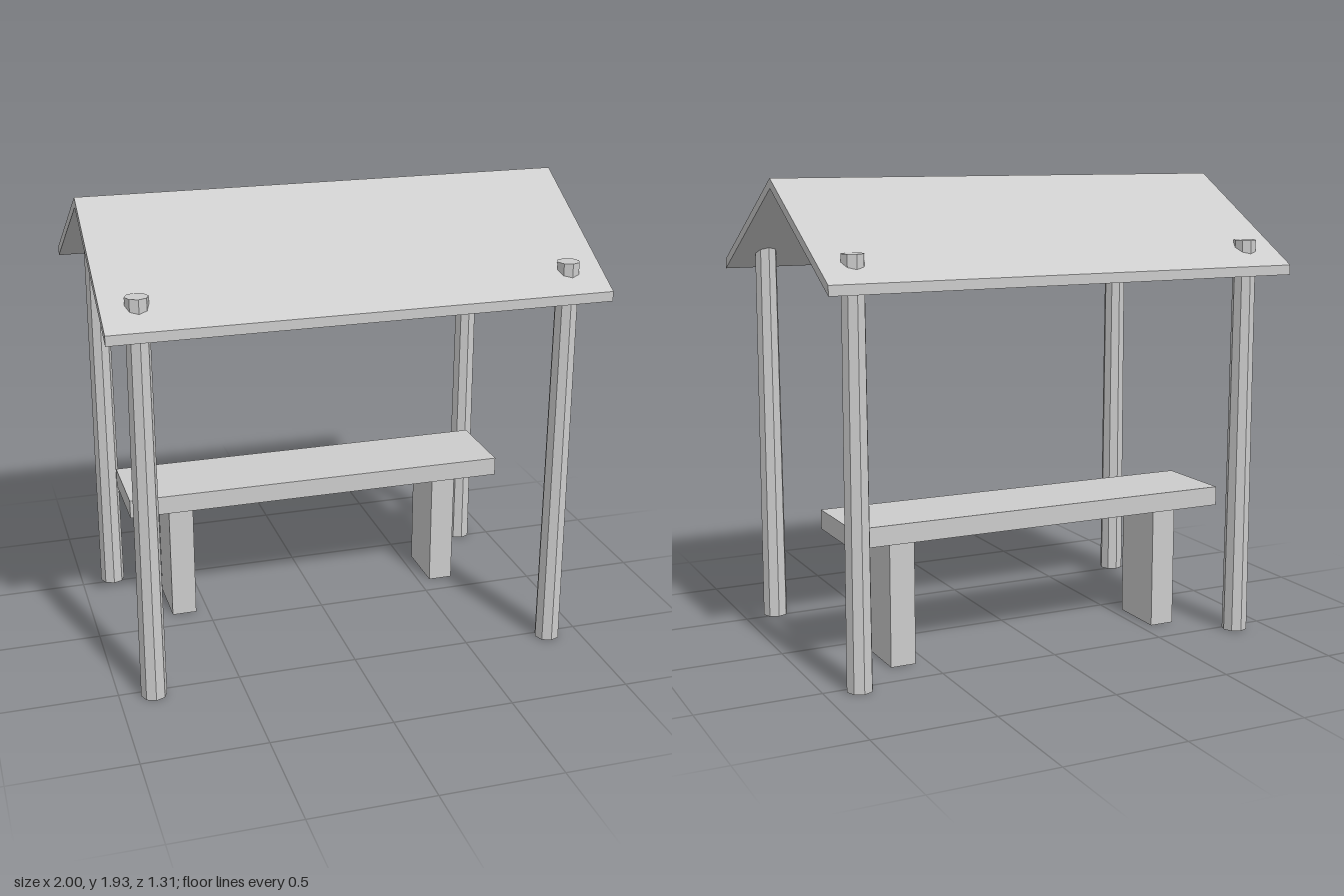
import * as THREE from 'three';

export function createModel() {
  const group = new THREE.Group();
  group.name = 'shelterWithBench';
  const grey = new THREE.MeshStandardMaterial({ color: 0xcccccc, flatShading: true });
  grey.name = 'light grey';

  const add = (name, geometry, x, y, z) => {
    const mesh = new THREE.Mesh(geometry, grey);
    mesh.name = name;
    mesh.position.set(x, y, z);
    group.add(mesh);
    return mesh;
  };

  // Gabled roof: chevron section, drawn with shape x along z, extruded along x
  const eave = 0.657, length = 2;
  const section = new THREE.Shape([
    [-eave, 1.53], [0, 1.89], [eave, 1.53],
    [eave, 1.57], [0, 1.93], [-eave, 1.57],
  ].map(([z, y]) => new THREE.Vector2(z, y)));
  const roofGeometry = new THREE.ExtrudeGeometry(section, { depth: length, bevelEnabled: false });
  roofGeometry.translate(0, 0, -length / 2).rotateY(Math.PI / 2);
  add('roof', roofGeometry, 0, 0, 0);

  // Four tapered eight-sided posts that poke through the roof
  const postHeight = 1.67;
  const postGeometry = new THREE.CylinderGeometry(0.046, 0.053, postHeight, 8);
  for (const [side, x] of [['Left', 0.86], ['Right', -0.86]]) {
    add('front' + side + 'Post', postGeometry, x, postHeight / 2, 0.53);
    add('back' + side + 'Post', postGeometry, x, postHeight / 2, -0.53);
  }

  // Bench: plank seat on two block legs
  const benchZ = -0.225;
  add('benchSeat', new THREE.BoxGeometry(1.67, 0.08, 0.36), 0, 0.56, benchZ);
  const legGeometry = new THREE.BoxGeometry(0.106, 0.52, 0.25);
  add('leftBenchLeg', legGeometry, 0.606, 0.26, benchZ);
  add('rightBenchLeg', legGeometry, -0.606, 0.26, benchZ);

  return group;
}
